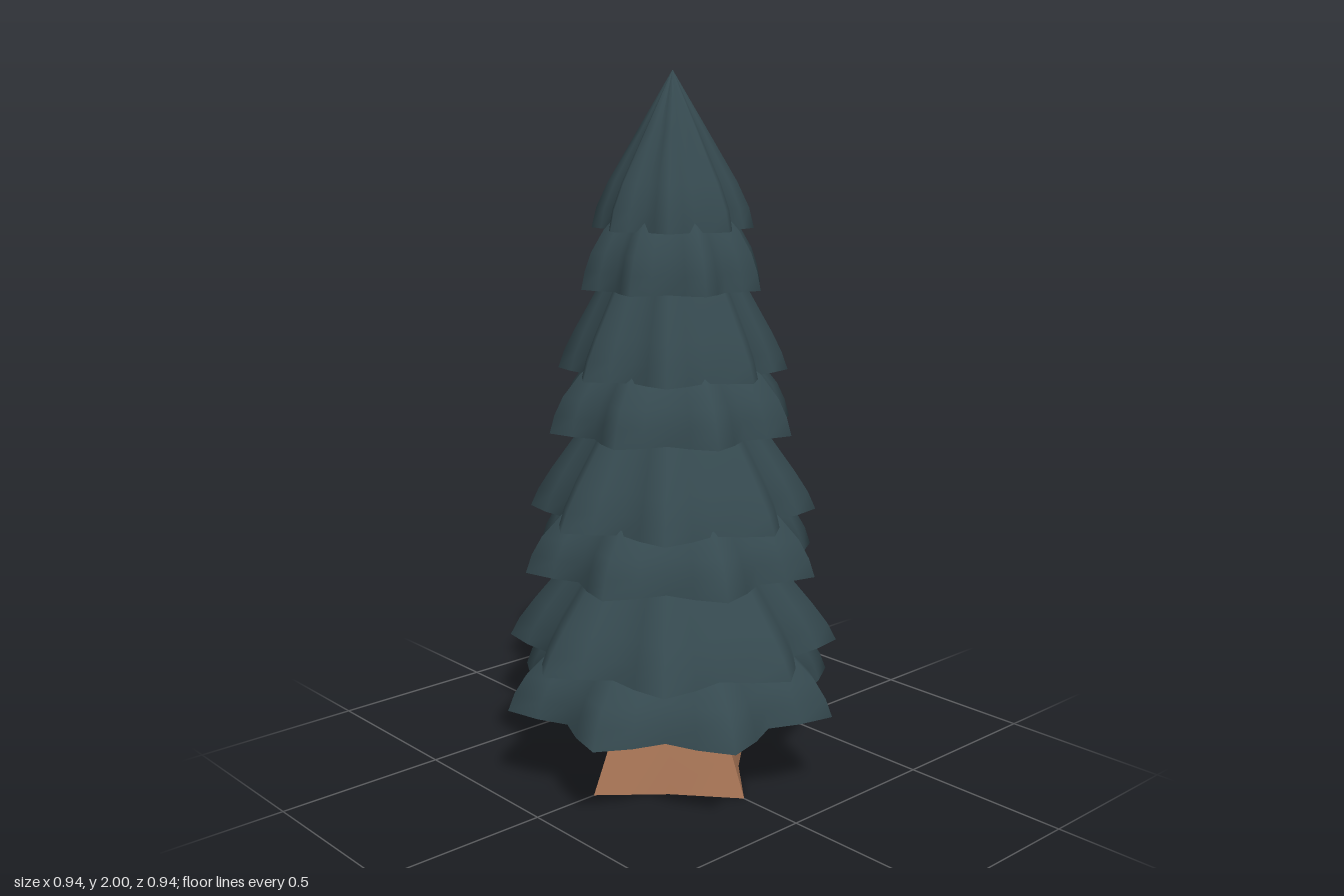
import * as THREE from 'three';
import { toCreasedNormals } from 'three/addons/utils/BufferGeometryUtils.js';

// Skins closed rings, listed from the bottom up; ring(row, angle) gives radius and height.
function loft(rows, sides, ring, crease) {
  const pos = [], index = [];
  rows.forEach((row, i) => {
    for (let j = 0; j < sides; j++) {
      const a = (j / sides) * Math.PI * 2;
      const [r, y] = ring(row, j);
      pos.push(Math.sin(a) * r, y, Math.cos(a) * r);
      if (i === 0) continue;
      const k = (j + 1) % sides, lo = (i - 1) * sides, hi = i * sides;
      index.push(lo + j, lo + k, hi + k, lo + j, hi + k, hi + j);
    }
  });
  const g = new THREE.BufferGeometry();
  g.setAttribute('position', new THREE.Float32BufferAttribute(pos, 3));
  g.setIndex(index);
  return toCreasedNormals(g, crease);
}

// How far the hem draws in from tip to valley and back out to the next tip.
const STAR = [0, 0.11, 0.205, 0.11];

// Profile rows: [radius as a share of the tip radius, height above the hem, star depth]
const underside = [[0, 0.06, 0], [0.85, 0.035, 1], [1, 0, 1]];
const longTier = [...underside, [0.945, 0.05, 0.95], [0.85, 0.11, 0.9], [0.62, 0.24, 0.8], [0.3, 0.4, 0.6], [0, 0.5, 0]];
const shortTier = [...underside, [0.96, 0.05, 0.95], [0.89, 0.1, 0.9], [0.75, 0.16, 0.9], [0.45, 0.24, 0.7], [0, 0.3, 0]];
const crownTip = [...underside, [0.94, 0.055, 0.95], [0.79, 0.125, 0.9], [0.43, 0.26, 0.9], [0, 0.42, 0]];

export function createModel() {
  const tree = new THREE.Group();
  tree.name = 'pineTree';
  const green = new THREE.MeshStandardMaterial({ color: 0x35494f });
  const brown = new THREE.MeshStandardMaterial({ color: 0xa87556, side: THREE.DoubleSide });

  // Flared, hollow trunk with four pointed roots: [height, tip radius, valley radius]
  const trunkRows = [[0, 0.3, 0.195], [0.12, 0.247, 0.175], [0.24, 0.2, 0.153], [0.36, 0.16, 0.13]];
  const trunk = new THREE.Mesh(
    loft(trunkRows, 8, ([y, tip, valley], j) => [j % 2 ? valley : tip, y], 0.6), brown);
  trunk.name = 'trunk';
  tree.add(trunk);

  // Eight star-shaped tiers of branches, every other one turned by half a point
  const tiers = [
    [0.24, 0.492, shortTier], [0.40, 0.472, longTier],
    [0.64, 0.432, shortTier], [0.79, 0.405, longTier],
    [1.03, 0.357, shortTier], [1.19, 0.32, longTier],
    [1.42, 0.262, shortTier], [1.58, 0.222, crownTip],
  ];
  tiers.forEach(([base, radius, profile], i) => {
    const geometry = loft(profile, 32,
      ([share, y, depth], j) => [radius * share * (1 - STAR[j % 4] * depth), y], 1.25);
    const tier = new THREE.Mesh(geometry, green);
    tier.name = 'branchTier' + (i + 1);
    tier.position.y = base;
    tier.rotation.y = i % 2 ? 0 : Math.PI / 8;
    tree.add(tier);
  });
  return tree;
}
